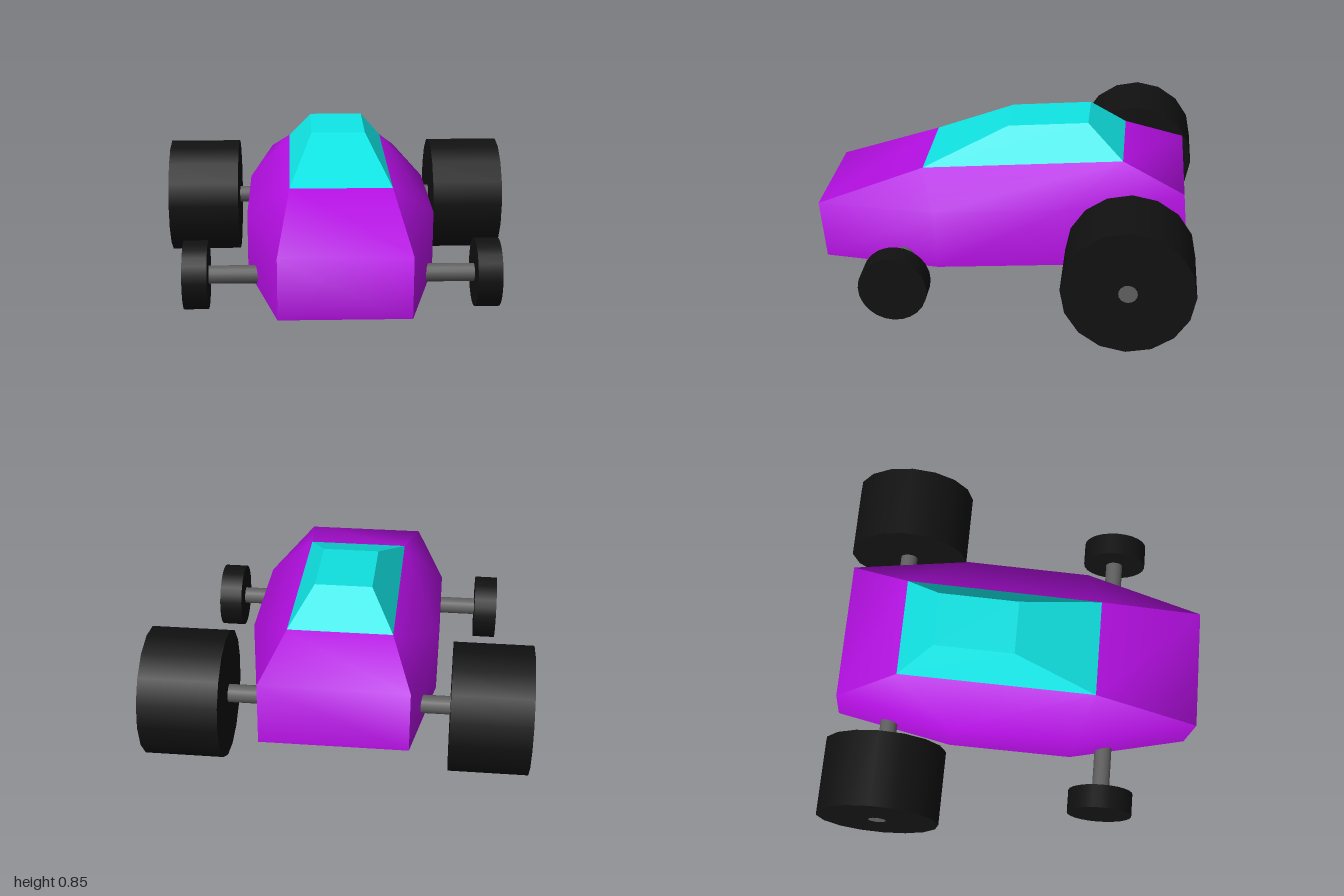
import * as THREE from 'three';

const paint = new THREE.MeshStandardMaterial({ color: 0xb40fe2 });
const teal = new THREE.MeshStandardMaterial({ color: 0x10e4e4 });
const rubber = new THREE.MeshStandardMaterial({ color: 0x111111 });
const steel = new THREE.MeshStandardMaterial({ color: 0x606060 });

// Corners of the left half (+x)
const P = {
  noseLow: [0.325, 0.085, 0.97], noseTop: [0.325, 0.4, 1],
  frontLow: [0.485, 0.14, 0.335], frontTop: [0.485, 0.46, 0.36],
  backLow: [0.485, 0.195, -0.335], backTop: [0.485, 0.515, -0.31],
  tailLow: [0.372, 0.26, -0.96], tailTop: [0.372, 0.578, -0.93],
  cabinFront: [0.265, 0.61, 0.44], cabinBack: [0.265, 0.7, -0.61],
  roofFront: [0.145, 0.82, 0], roofBack: [0.145, 0.855, -0.42],
};
const right = ([x, y, z]) => [-x, y, z];

// Faces are lists of corners, counter-clockwise from outside; shared corners are smoothed
function shell(name, faces, material, flat = false) {
  const positions = [], index = [], seen = new Map();
  const id = (p) => {
    const key = p.join();
    if (flat || !seen.has(key)) {
      seen.set(key, positions.length / 3);
      positions.push(...p);
    }
    return seen.get(key);
  };
  for (const face of faces) {
    const ids = face.map(id);
    for (let i = 1; i < ids.length - 1; i++) index.push(ids[0], ids[i], ids[i + 1]);
  }
  const geometry = new THREE.BufferGeometry();
  geometry.setAttribute('position', new THREE.Float32BufferAttribute(positions, 3));
  geometry.setIndex(index);
  geometry.computeVertexNormals();
  const mesh = new THREE.Mesh(geometry, material);
  mesh.name = name;
  return mesh;
}

// Panel spanning the width between two corners, 'a' listed before 'b' along the run
const across = (a, b) => [a, b, right(b), right(a)];
const mirrorFaces = (faces) => faces.map((f) => f.map(right).reverse());

// Cylinder lying along x
function rod(name, radius, length, x, y, z, sides, material) {
  const geometry = new THREE.CylinderGeometry(radius, radius, length, sides).rotateZ(Math.PI / 2);
  const mesh = new THREE.Mesh(geometry, material);
  mesh.name = name;
  mesh.position.set(x, y, z);
  return mesh;
}

export function createModel() {
  const model = new THREE.Group();
  model.name = 'raceCar';

  // Body: middle strip, rounded flanks and underside
  const body = new THREE.Group();
  body.name = 'body';
  model.add(body);
  const flank = [
    [P.noseLow, P.frontLow, P.frontTop, P.noseTop],
    [P.frontLow, P.backLow, P.backTop, P.frontTop],
    [P.backLow, P.tailLow, P.tailTop, P.backTop],
    [P.noseTop, P.frontTop, P.cabinFront],
    [P.frontTop, P.backTop, P.cabinBack, P.cabinFront],
    [P.backTop, P.tailTop, P.cabinBack],
  ];
  body.add(
    shell('noseAndHood', [across(P.noseLow, P.noseTop), across(P.noseTop, P.cabinFront)], paint),
    shell('rearDeckAndTail', [across(P.cabinBack, P.tailTop), across(P.tailTop, P.tailLow)], paint),
    shell('leftFlank', flank, paint),
    shell('rightFlank', mirrorFaces(flank), paint),
    shell('underside', [across(P.backLow, P.frontLow), across(P.frontLow, P.noseLow)], paint, true),
    shell('rearUndertray', [across(P.tailLow, P.backLow)], teal, true),
  );

  // Faceted glass cabin
  const side = [[P.cabinFront, P.cabinBack, P.roofBack, P.roofFront]];
  model.add(shell('cabin', [
    across(P.cabinFront, P.roofFront),
    across(P.roofFront, P.roofBack),
    across(P.roofBack, P.cabinBack),
    ...side, ...mirrorFaces(side),
  ], teal, true));

  // Axles; the rear one shows through the wheels as a hub
  model.add(rod('frontAxle', 0.047, 1.36, 0, 0.18, 0.515, 16, steel));
  model.add(rod('rearAxle', 0.047, 1.934, 0, 0.33, -0.667, 16, steel));

  // Wheels
  for (const [label, s] of [['Left', 1], ['Right', -1]]) {
    model.add(rod('front' + label + 'Wheel', 0.176, 0.125, s * 0.743, 0.18, 0.515, 24, rubber));
    model.add(rod('rear' + label + 'Wheel', 0.328, 0.4, s * 0.765, 0.33, -0.667, 16, rubber));
  }
  return model;
}
